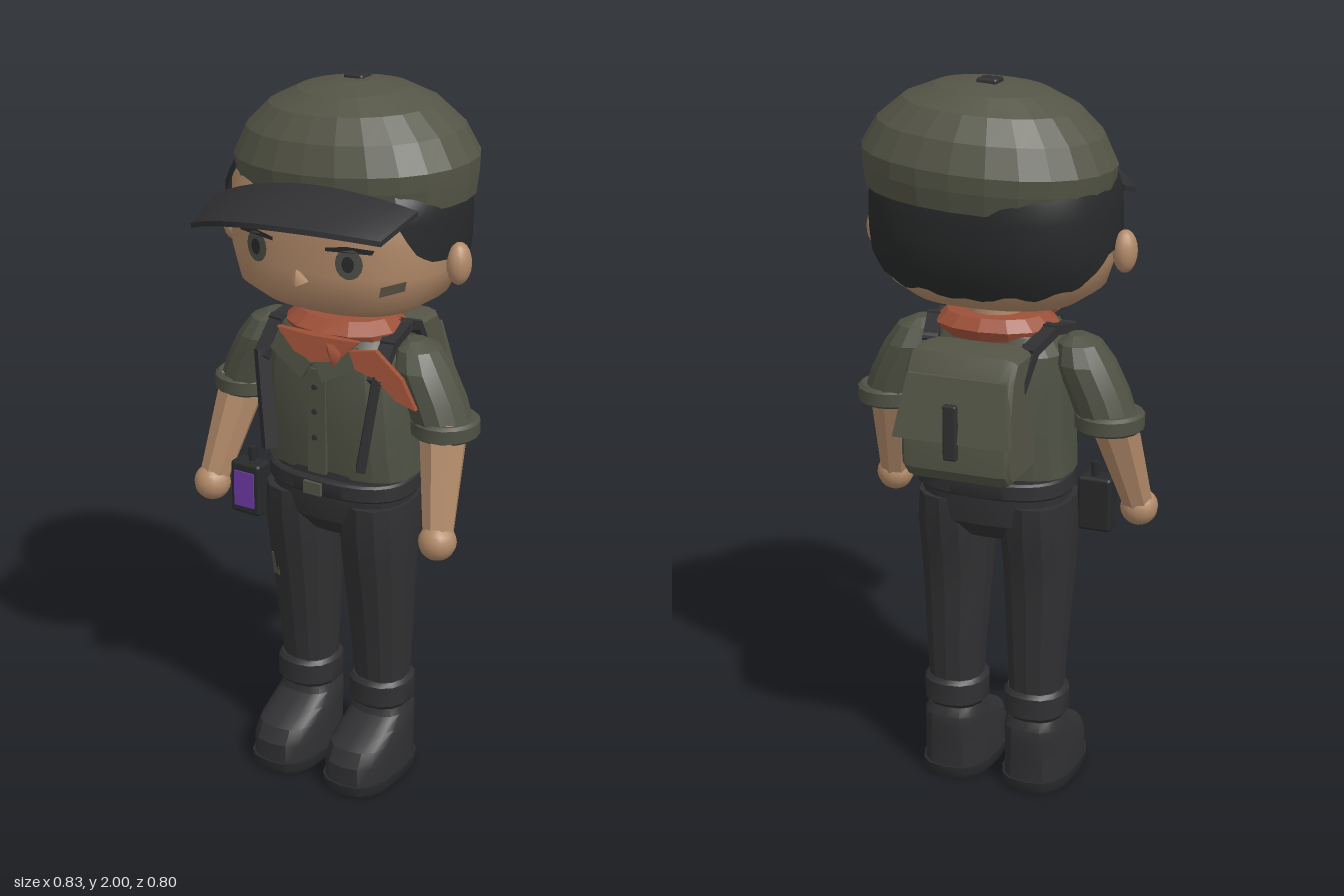
import * as THREE from 'three';
import { toCreasedNormals } from 'three/addons/utils/BufferGeometryUtils.js';
import { RoundedBoxGeometry } from 'three/addons/geometries/RoundedBoxGeometry.js';

const paint = (name, color) => Object.assign(new THREE.MeshStandardMaterial({ color }), { name });
const V = (x, y, z) => new THREE.Vector3(x, y, z);

export function createModel() {
  const model = new THREE.Group();
  model.name = 'scout';
  const skin = paint('skin', 0xb28a69), hair = paint('hairBlack', 0x28292a), olive = paint('olive', 0x545546),
    shirt = paint('shirtGreen', 0x4e5143), cloth = paint('charcoal', 0x303032), red = paint('scarfRed', 0x9c5038),
    purple = paint('screenPurple', 0x6d38a4), iris = paint('irisGrey', 0x4c4d46), smudge = paint('smudge', 0x5a5145);
  cloth.side = THREE.DoubleSide;

  const add = (name, geo, mat, x = 0, y = 0, z = 0) => {
    const m = new THREE.Mesh(geo, mat);
    m.name = name;
    m.position.set(x, y, z);
    model.add(m);
    return m;
  };
  const bend = (geo, rule, crease = 0.6) => {
    const p = geo.attributes.position, v = V();
    for (let i = 0; i < p.count; i++) {
      rule(v.fromBufferAttribute(p, i));
      p.setXYZ(i, v.x, v.y, v.z);
    }
    return toCreasedNormals(geo, crease);
  };
  const power = (a, e) => Math.sign(a) * Math.abs(a) ** e;

  // Solid through rounded cross-sections [y, rx, rz, cx, cz], from bottom to top
  const loft = (rings, sides = 20, n = 2.4, crease = 0.6) =>
    bend(new THREE.CylinderGeometry(1, 1, 1, sides, rings.length - 1), v => {
      const [y, rx, rz, cx, cz] = rings[Math.round((v.y + 0.5) * (rings.length - 1))];
      v.set(cx + rx * power(v.x, 2 / n), y, cz + rz * power(v.z, 2 / n));
    }, crease);
  // Tapered limb between two points
  const limb = (name, a, b, ra, rb, mat, sides = 8) => {
    const g = toCreasedNormals(new THREE.CylinderGeometry(rb, ra, a.distanceTo(b), sides), 0.3);
    const m = add(name, g, mat);
    m.position.copy(a).lerp(b, 0.5);
    m.quaternion.setFromUnitVectors(V(0, 1, 0), b.clone().sub(a).normalize());
  };
  // Flat strap between two points
  const strap = (name, a, b, w, t, mat) => {
    const m = add(name, new THREE.BoxGeometry(w, t, a.distanceTo(b) + t), mat);
    m.position.copy(a).lerp(b, 0.5);
    m.lookAt(b);
  };
  const outline = pts => new THREE.Shape(pts.map(p => new THREE.Vector2(...p)));

  // Head
  const headRings = [[1.395, .1, .07, 0, -.06], [1.402, .15, .11, 0, -.06], [1.42, .225, .17, 0, -.06],
    [1.46, .285, .213, 0, -.06], [1.54, .315, .235, 0, -.075], [1.62, .32, .24, 0, -.08],
    [1.72, .315, .24, 0, -.08], [1.82, .27, .2, 0, -.09]];
  add('head', loft(headRings, 36, 2.4, 1), skin);
  const headAt = y => {
    let i = 0;
    while (i < headRings.length - 2 && headRings[i + 1][0] < y) i++;
    const a = headRings[i], b = headRings[i + 1], t = (y - a[0]) / (b[0] - a[0]);
    return a.map((q, k) => q + (b[k] - q) * t);
  };
  // Thin painted patch laid on the face
  const facePatch = (name, pts, mat, lift = 0.004) => add(name, bend(new THREE.ShapeGeometry(outline(pts)), v => {
    const [, rx, rz, , cz] = headAt(v.y);
    v.z = cz + lift + rz * (1 - Math.abs(v.x / rx) ** 2.4) ** (1 / 2.4);
  }), mat);
  const oval = (x, y, rx, ry) => Array.from({ length: 14 }, (_, i) =>
    [x + rx * Math.cos(i * Math.PI / 7), y + ry * Math.sin(i * Math.PI / 7)]);
  for (const s of [-1, 1]) {
    const mirror = pts => (s < 0 ? pts.map(([x, y]) => [-x, y]).reverse() : pts);
    facePatch('eye', oval(s * .14, 1.582, .036, .042), iris, .005);
    facePatch('pupil', oval(s * .14, 1.582, .016, .022), hair, .009);
    facePatch('eyelid', mirror([[.08, 1.612], [.2, 1.612], [.205, 1.624], [.14, 1.63], [.08, 1.622]]), hair, .01);
    facePatch('brow', mirror([[.08, 1.655], [.185, 1.675], [.19, 1.695], [.085, 1.675]]), hair, .008);
    add('ear', new THREE.SphereGeometry(1, 14, 10).scale(.032, .057, .038), skin, s * .347, 1.563, -.055);
  }
  facePatch('cheekSmudge', [[.21, 1.495], [.262, 1.51], [.268, 1.538], [.216, 1.523]], smudge, .006);
  add('nose', new THREE.ConeGeometry(.026, .04, 4).rotateX(.5), skin, 0, 1.535, .17);
  add('neck', new THREE.CylinderGeometry(.075, .08, .1, 16), skin, 0, 1.385, -.07);

  // Hair shell with sideburns and a ragged nape
  const hemPoints = [[.84, 1.69], [1.0, 1.615], [1.2, 1.585], [1.7, 1.57], [2.0, 1.51], [2.4, 1.475], [3.15, 1.462]];
  const hem = a => {
    const i = Math.max(1, hemPoints.findIndex(p => p[0] >= a));
    const [a0, y0] = hemPoints[i - 1], [a1, y1] = hemPoints[i];
    return y0 + (y1 - y0) * (a - a0) / (a1 - a0) + (a > 1.9 ? .008 * Math.sin(a * 14) : 0);
  };
  const hairMesh = add('hair', bend(new THREE.PlaneGeometry(1, 1, 48, 6), v => {
    const a = Math.PI + v.x * 2 * (Math.PI - .841), low = hem(Math.min(a, 2 * Math.PI - a));
    const y = low + (1.77 - low) * (v.y + .5), [, rx, rz, , cz] = headAt(y);
    v.set((rx + .012) * power(Math.sin(a), 1 / 1.2), y,
      cz + (rz + .012 + Math.max(0, y - 1.46) * .05) * power(Math.cos(a), 1 / 1.2));
  }, 0.5), hair);
  hair.side = THREE.DoubleSide;

  // Cap, tipped to one side
  const cap = add('cap', loft([[-.1, .29, .215, 0, 0], [-.1, .326, .25, 0, 0], [-.045, .335, .264, 0, 0],
    [.0, .338, .268, 0, 0], [.075, .298, .242, 0, 0], [.135, .232, .193, 0, 0], [.172, .15, .132, 0, 0],
    [.19, .05, .045, 0, 0]], 24, 2.1, 0.12), olive, .01, 1.8, -.1);
  cap.rotation.z = .055;
  add('capButton', new RoundedBoxGeometry(.058, .02, .052, 2, .008), cloth, -.003, 1.99, -.126);
  add('visor', bend(new THREE.BoxGeometry(1, 1, 1, 14, 1, 2), v => {
    const u = v.x * 2, w = v.z + .5;
    v.set(.015 + u * (.302 - .018 * w), 1.772 + v.y * .014 - .04 * w - .062 * u * u + .025 * u,
      (.165 - .055 * u * u) * (1 - w) + (.4 - .14 * u * u) * w);
  }, .4), cloth);

  // Shirt
  add('shirt', loft([[.94, .222, .13, .01, -.055], [1.05, .215, .142, .01, -.05], [1.2, .21, .146, .005, -.048],
    [1.28, .2, .138, 0, -.05], [1.33, .168, .112, 0, -.06], [1.37, .09, .08, 0, -.068]], 20, 2.8, .3), shirt);
  add('placket', new THREE.BoxGeometry(.055, .3, .012), shirt, .01, 1.1, .093);
  for (const y of [1.2, 1.13, 1.055])
    add('button', new THREE.CylinderGeometry(.008, .008, .008, 8).rotateX(Math.PI / 2), cloth, .005, y, .101);
  for (const s of [-1, 1]) {
    const lapel = add('lapel', new THREE.BoxGeometry(.13, .055, .014), shirt, s * .075, 1.272, .087);
    lapel.rotation.set(-.2, s * .1, s * .5);
  }

  // Arms and pack straps
  for (const s of [-1, 1]) {
    add('sleeve', loft([[1.09, .08, .086, s * .315, -.058], [1.18, .082, .09, s * .283, -.06],
      [1.26, .08, .088, s * .245, -.06], [1.31, .058, .066, s * .23, -.06],
      [1.33, .022, .03, s * .222, -.06]], 12, 2, .3), shirt);
    add('sleeveCuff', loft([[1.078, .084, .084, s * .315, -.06], [1.086, .093, .095, s * .315, -.06],
      [1.122, .093, .095, s * .315, -.06], [1.13, .084, .084, s * .315, -.06]], 16, 2), shirt);
    limb('forearm', V(s * .36, .84, .05), V(s * .318, 1.11, -.045), .043, .068, skin);
    add('hand', new THREE.SphereGeometry(.052, 14, 10), skin, s * .363, .82, .058);
    const path = [V(s * .145, 1.0, .09), V(s * .178, 1.25, .07), V(s * .175, 1.325, .0),
      V(s * .165, 1.345, -.1), V(s * .14, 1.31, -.19), V(s * .13, 1.23, -.25)];
    path.slice(1).forEach((p, i) => strap('packStrap', path[i], p, .042, .025, cloth));
  }

  // Scarf with a front fold and a trailing end
  add('scarfBand', loft([[1.315, .165, .12, .005, -.06], [1.345, .168, .135, .005, -.06],
    [1.375, .135, .105, .005, -.065], [1.38, .08, .08, .005, -.07]], 14, 2.2, .2), red);
  const sheet = (name, pts, z) => add(name, bend(new THREE.ExtrudeGeometry(outline(pts),
    { depth: .015, bevelEnabled: false }), v => { v.z += z(v.x, v.y); }, .3), red);
  sheet('scarfFold', [[-.12, 1.345], [-.06, 1.29], [.0, 1.272], [.07, 1.283], [.13, 1.345], [.01, 1.355]],
    (x, y) => .095 - 2.2 * x * x + .25 * (y - 1.3));
  sheet('scarfEnd', [[.12, 1.33], [.135, 1.28], [.19, 1.255], [.235, 1.2], [.285, 1.175], [.25, 1.26], [.185, 1.335]],
    x => .1 - .38 * (x - .12));
  const tuft = add('scarfTip', new THREE.ConeGeometry(.035, .085, 4), red, .06, 1.315, .1);
  tuft.rotation.x = .75;

  // Trousers, belt and boots
  add('hips', loft([[.75, .1, .09, .005, -.055], [.8, .2, .128, .005, -.055], [.88, .206, .14, .008, -.052],
    [.95, .2, .132, .01, -.055]], 20, 2.6, .4), cloth);
  add('belt', loft([[.882, .212, .146, .01, -.052], [.888, .217, .15, .01, -.052], [.925, .214, .15, .01, -.052],
    [.931, .208, .144, .01, -.052]], 24, 2.6), cloth);
  add('beltBuckle', new THREE.BoxGeometry(.055, .036, .014), olive, -.002, .904, .1);
  for (const s of [-1, 1]) {
    const c = s * .12 + .004;
    add('trouserLeg', loft([[.19, .07, .072, c, -.07], [.3, .076, .08, c, -.07], [.43, .083, .09, c, -.065],
      [.56, .091, .1, c, -.056], [.68, .098, .114, c, -.05], [.78, .101, .132, c, -.052],
      [.86, .095, .134, c, -.052]], 14, 2.3, .35), cloth);
    add('trouserCuff', loft([[.215, .08, .082, c, -.068], [.228, .089, .093, c, -.068],
      [.288, .089, .093, c, -.068], [.3, .08, .084, c, -.068]], 14, 2.3), cloth);
    add('boot', loft([[.02, .097, .157, c, -.002], [.09, .096, .157, c, -.002], [.13, .092, .146, c, -.016],
      [.16, .088, .113, c, -.05], [.19, .082, .086, c, -.076], [.215, .074, .076, c, -.074]], 16, 2.7, .5), cloth);
    add('bootSole', loft([[0, .099, .16, c, -.002], [.008, .103, .164, c, -.002],
      [.034, .103, .164, c, -.002]], 16, 2.7), hair);
  }
  const patch = add('kneePatch', new THREE.BoxGeometry(.026, .066, .009), olive, -.165, .605, .035);
  patch.rotation.set(.1, -.35, .1);

  // Handheld radio on the belt
  add('radio', new RoundedBoxGeometry(.095, .155, .06, 2, .01), hair, -.25, .825, .035);
  add('radioScreen', new THREE.BoxGeometry(.064, .105, .008), purple, -.25, .825, .066);
  add('radioAntenna', new THREE.CylinderGeometry(.011, .011, .05, 8), hair, -.245, .918, .03);

  // Backpack
  const side = outline([[.17, .985], [.345, .985], [.375, 1.02], [.378, 1.12], [.345, 1.27], [.31, 1.32], [.19, 1.32]]);
  add('backpack', toCreasedNormals(new THREE.ExtrudeGeometry(side,
    { depth: .23, bevelThickness: .035, bevelSize: .015, bevelOffset: -.015, bevelSegments: 2 })
    .translate(0, 0, -.115).rotateY(Math.PI / 2).applyMatrix4(new THREE.Matrix4().makeRotationY(0)), .5), olive)
    .rotation.y = 0;
  const pack = model.getObjectByName('backpack');
  pack.geometry.rotateY(Math.PI); // extruded depth across x, profile toward the back
  pack.geometry.computeBoundingBox();
  if (pack.geometry.boundingBox.max.z > 0) pack.geometry.rotateY(Math.PI);
  add('packFlap', bend(new THREE.BoxGeometry(1, 1, 1), v => {
    const low = .5 - v.y;
    v.set(v.x * (.27 + .055 * low), 1.27 - .165 * low, -.345 - .04 * low + v.z * .024);
  }, .3), olive);
  add('packTab', new RoundedBoxGeometry(.038, .15, .02, 2, .006), cloth, 0, 1.135, -.393);
  return model;
}
